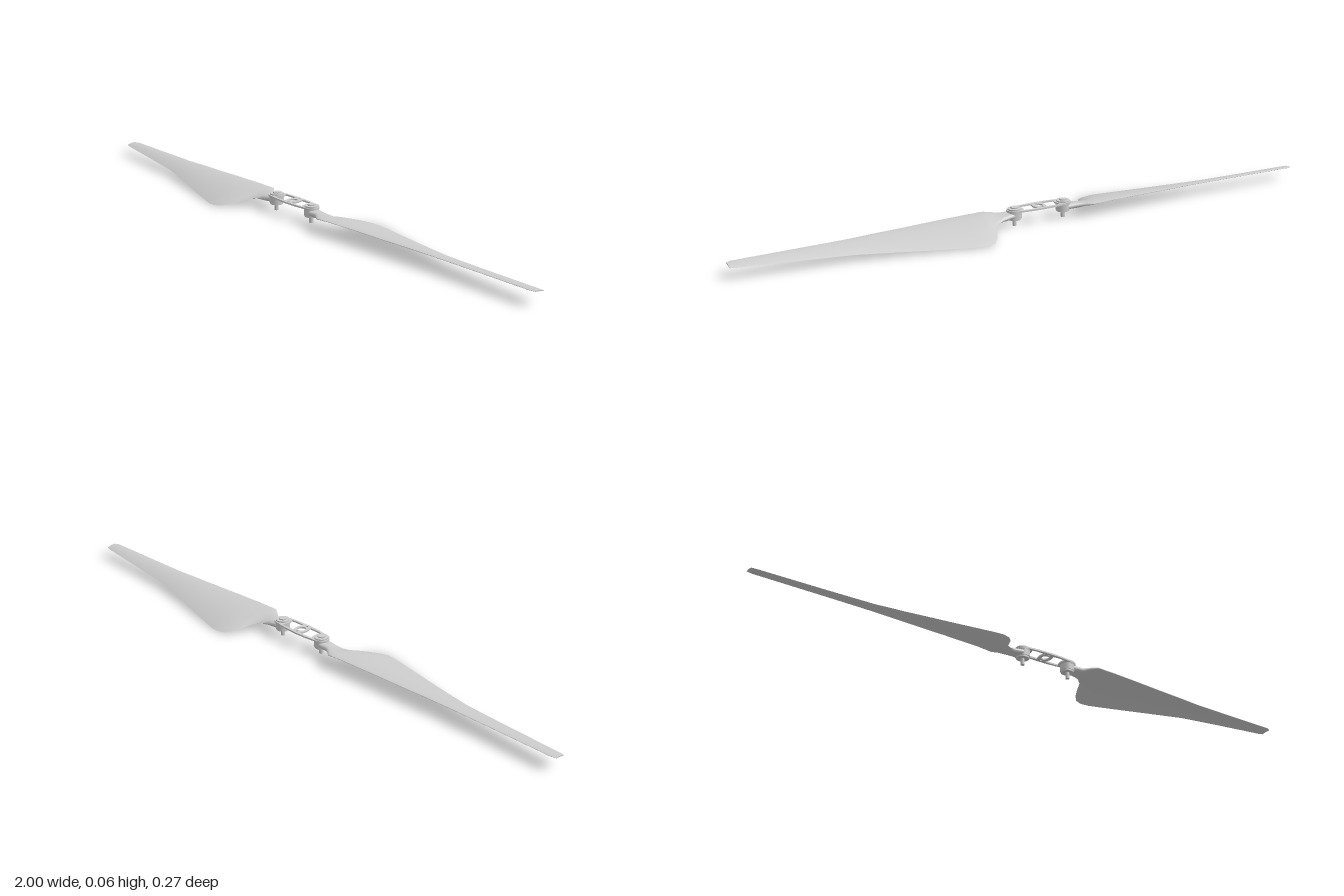
import * as THREE from 'three';

const grey = new THREE.MeshStandardMaterial({ color: 0xcccccc, side: THREE.DoubleSide });
const PIVOT = 0.088;

// Blade stations: x, leading z, trailing z, leading y, trailing y, thickness, root roundness
const STATIONS = [
  [0.095, 0.022, -0.022, 0.036, 0.036, 0.02, 1],
  [0.135, 0.024, -0.024, 0.037, 0.031, 0.019, 0.9],
  [0.155, 0.038, -0.032, 0.041, 0.028, 0.014, 0.5],
  [0.175, 0.052, -0.048, 0.043, 0.024, 0.011, 0.2],
  [0.19, 0.051, -0.08, 0.044, 0.016, 0.01, 0],
  [0.205, 0.05, -0.108, 0.044, 0.009, 0.009, 0],
  [0.225, 0.048, -0.13, 0.045, 0.004, 0.008, 0],
  [0.25, 0.047, -0.139, 0.045, 0.003, 0.008, 0],
  [0.28, 0.045, -0.137, 0.045, 0.003, 0.008, 0],
  [0.35, 0.04, -0.122, 0.045, 0.006, 0.008, 0],
  [0.45, 0.033, -0.1, 0.044, 0.011, 0.007, 0],
  [0.55, 0.026, -0.078, 0.044, 0.016, 0.007, 0],
  [0.64, 0.02, -0.06, 0.043, 0.021, 0.006, 0],
  [0.8, 0.016, -0.046, 0.043, 0.028, 0.005, 0],
  [0.985, 0.012, -0.032, 0.043, 0.036, 0.004, 0],
  [1.0, 0.006, -0.029, 0.042, 0.037, 0.003, 0],
];

// Closed section: over the top from trailing to leading edge, back underneath
function section([x, zl, zt, yl, yt, th, round]) {
  const n = 14, pts = [];
  for (let i = 0; i <= 2 * n; i++) {
    const u = (1 + Math.cos((Math.PI * i) / n)) / 2;
    const foil = (Math.sqrt(u) * (1 - u)) / 0.385 + 0.12 * u;
    const block = Math.sqrt(Math.max(0, 1 - (2 * u - 1) ** 4));
    const half = (th / 2) * (foil * (1 - round) + block * round);
    const camber = 0.22 * u * (1 - u) * (zl - zt) * (1 - round);
    const y = yl + (yt - yl) * u + camber + (i <= n ? half : -half);
    pts.push([x, y, zl + (zt - zl) * u]);
  }
  return pts;
}

function bladeGeometry() {
  const rings = STATIONS.map(section), m = rings[0].length;
  const pos = rings.flat(2), index = [];
  for (let s = 0; s < rings.length - 1; s++) {
    for (let i = 0; i < m - 1; i++) {
      const a = s * m + i, b = a + m;
      index.push(a, a + 1, b, a + 1, b + 1, b);
    }
  }
  // End caps with their own vertices
  [[0, true], [rings.length - 1, false]].forEach(([s, flip]) => {
    const base = pos.length / 3, [x, zl, zt, yl, yt] = STATIONS[s];
    pos.push(x, (yl + yt) / 2, (zl + zt) / 2, ...rings[s].flat());
    for (let i = 1; i < m; i++) {
      index.push(base, base + (flip ? i + 1 : i), base + (flip ? i : i + 1));
    }
  });
  const g = new THREE.BufferGeometry();
  g.setAttribute('position', new THREE.Float32BufferAttribute(pos, 3));
  g.setIndex(index);
  g.computeVertexNormals();
  return g;
}

function add(parent, name, geometry, x = 0, y = 0, z = 0) {
  const mesh = new THREE.Mesh(geometry, grey);
  mesh.name = name;
  mesh.position.set(x, y, z);
  parent.add(mesh);
  return mesh;
}

// Upright cylinder between two heights
function disc(parent, name, r, y0, y1, x = 0, z = 0, sides = 32) {
  return add(parent, name, new THREE.CylinderGeometry(r, r, y1 - y0, sides), x, (y0 + y1) / 2, z);
}

function hole(x, y, r) {
  return new THREE.Path().absarc(x, y, r, 0, Math.PI * 2, true);
}

// Thin hub plate with bowed sides, a centre bore, bolt holes and two windows
function plateGeometry() {
  const s = new THREE.Shape();
  s.moveTo(PIVOT, -0.026);
  s.absarc(PIVOT, 0, 0.026, -Math.PI / 2, Math.PI / 2, false);
  s.quadraticCurveTo(0, 0.04, -PIVOT, 0.026);
  s.absarc(-PIVOT, 0, 0.026, Math.PI / 2, Math.PI * 1.5, false);
  s.quadraticCurveTo(0, -0.04, PIVOT, -0.026);
  s.holes.push(hole(0, 0, 0.013));
  for (const k of [-1, 1]) {
    s.holes.push(hole(0, k * 0.022, 0.004));
    const w = new THREE.Path();
    w.moveTo(k * 0.016, 0.022);
    w.quadraticCurveTo(k * 0.04, 0.025, k * 0.066, 0.021);
    w.quadraticCurveTo(k * 0.054, 0, k * 0.066, -0.021);
    w.quadraticCurveTo(k * 0.04, -0.025, k * 0.016, -0.022);
    w.quadraticCurveTo(k * 0.026, 0, k * 0.016, 0.022);
    s.holes.push(w);
  }
  const g = new THREE.ExtrudeGeometry(s, { depth: 0.005, bevelEnabled: false, curveSegments: 20 });
  return g.rotateX(-Math.PI / 2);
}

export function createModel() {
  const model = new THREE.Group();
  model.name = 'foldingPropeller';
  const blade = bladeGeometry();

  add(model, 'hubPlate', plateGeometry(), 0, 0.048, 0);

  for (const side of [0, 1]) {
    const half = new THREE.Group();
    half.name = side ? 'rightHalf' : 'leftHalf';
    half.rotation.y = side * Math.PI;
    model.add(half);

    // Blade swings on its pivot; one is folded very slightly
    const swing = new THREE.Group();
    swing.name = 'bladeSwing';
    swing.position.x = PIVOT;
    swing.rotation.y = side * -0.028;
    half.add(swing);
    add(swing, 'blade', blade, -PIVOT, 0, 0);
    disc(swing, 'bladeKnuckle', 0.0235, 0.026, 0.046);

    // Pivot stack: washers, stepped cap and pin
    disc(half, 'lowerWasher', 0.021, 0.021, 0.026, PIVOT);
    disc(half, 'upperWasher', 0.025, 0.046, 0.048, PIVOT);
    disc(half, 'capBase', 0.022, 0.053, 0.057, PIVOT);
    disc(half, 'capTop', 0.013, 0.057, 0.061, PIVOT, 0, 6);
    disc(half, 'pivotPin', 0.0065, 0, 0.022, PIVOT, 0, 20);
  }
  return model;
}
